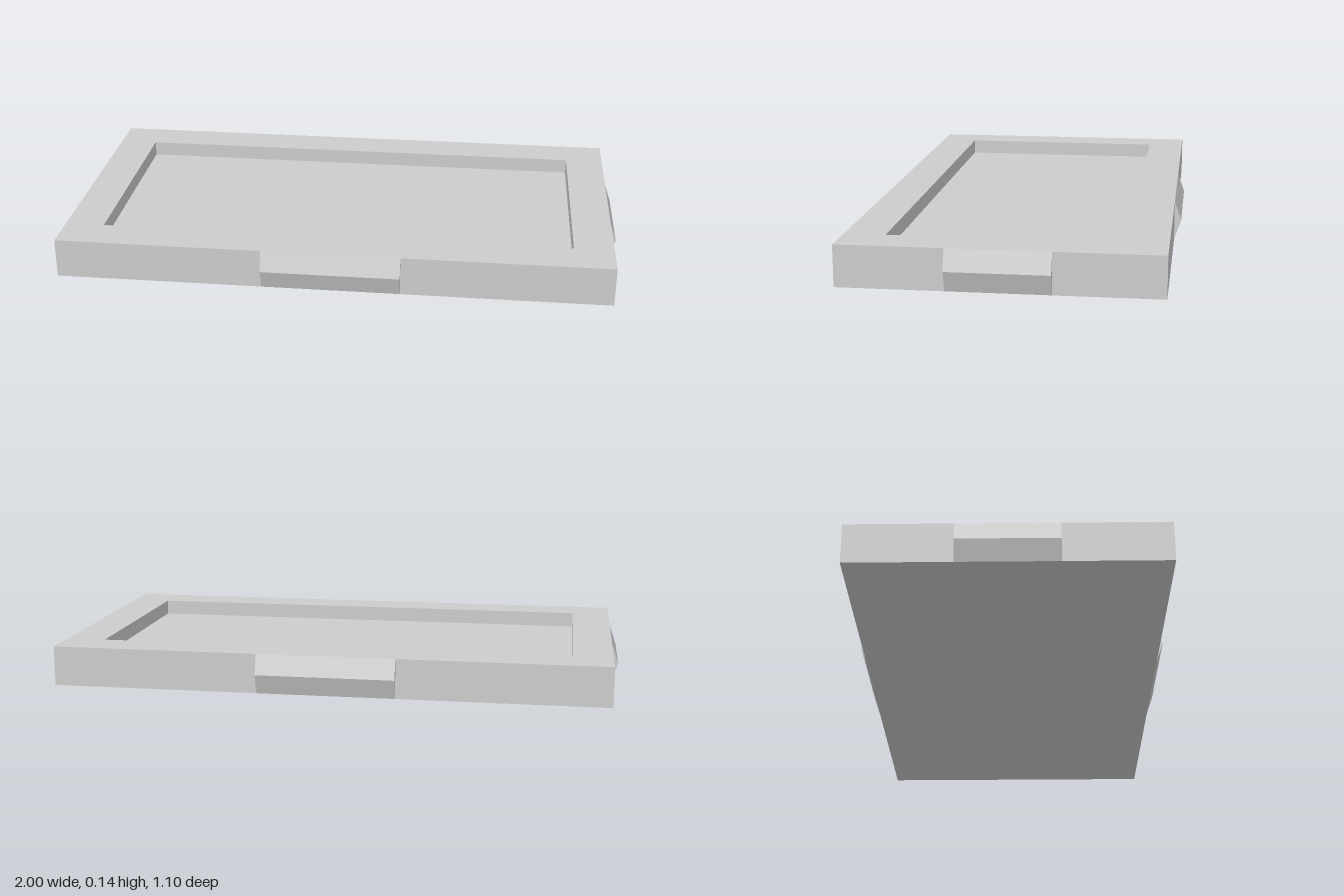
import * as THREE from 'three';

const HX = 0.976, HZ = 0.527;      // outer half-size
const IX = 0.836, IZ = 0.388;      // recess half-size
const H = 0.14, FLOOR = 0.086;     // rim height, recess floor height
const OUT = 0.024;                 // how far the edge ridges stand out

// Flat-sided surface from polygons (corners counter-clockwise seen from outside)
function surface(name, polygons, material) {
  const pos = [];
  for (const p of polygons) {
    for (let i = 1; i < p.length - 1; i++) pos.push(...p[0], ...p[i], ...p[i + 1]);
  }
  const geo = new THREE.BufferGeometry();
  geo.setAttribute('position', new THREE.Float32BufferAttribute(pos, 3));
  geo.computeVertexNormals();
  const mesh = new THREE.Mesh(geo, material);
  mesh.name = name;
  return mesh;
}

// Rectangle of corners at height y, counter-clockwise seen from above
const rect = (x, z, y) => [[-x, y, z], [x, y, z], [x, y, -z], [-x, y, -z]];

// Four quads joining one rectangle to the next
const band = (a, b) => a.map((p, i) => {
  const j = (i + 1) % 4;
  return [p, a[j], b[j], b[i]];
});

// Wedge-shaped ridge on the +z side, half-width w, rooted at z
function ridge(name, w, z, material) {
  const row = (x) => [[x, 0, z], [x, H / 2, z + OUT], [x, H, z]];
  const l = row(-w), r = row(w);
  return surface(name, [
    [l[0], r[0], r[1], l[1]],
    [l[1], r[1], r[2], l[2]],
    [l[0], l[1], l[2]],
    [r[0], r[2], r[1]],
  ], material);
}

export function createModel() {
  const model = new THREE.Group();
  model.name = 'tray';
  const grey = new THREE.MeshStandardMaterial({ color: 0xcccccc });
  grey.name = 'light grey';

  // Tray body: outer walls, flat rim, recess walls, floor and underside
  const bottom = rect(HX, HZ, 0), top = rect(HX, HZ, H);
  const lip = rect(IX, IZ, H), floor = rect(IX, IZ, FLOOR);
  model.add(
    surface('outerWalls', band(bottom, top), grey),
    surface('rim', band(top, lip), grey),
    surface('recessWalls', band(lip, floor), grey),
    surface('recessFloor', [floor], grey),
    surface('underside', [[...bottom].reverse()], grey),
  );

  // One ridge in the middle of each side
  ['front', 'left', 'back', 'right'].forEach((side, i) => {
    const long = i % 2 === 0;
    const mesh = ridge(side + 'Ridge', long ? 0.243 : 0.17, long ? HZ : HX, grey);
    mesh.rotation.y = i * Math.PI / 2;
    model.add(mesh);
  });

  return model;
}
